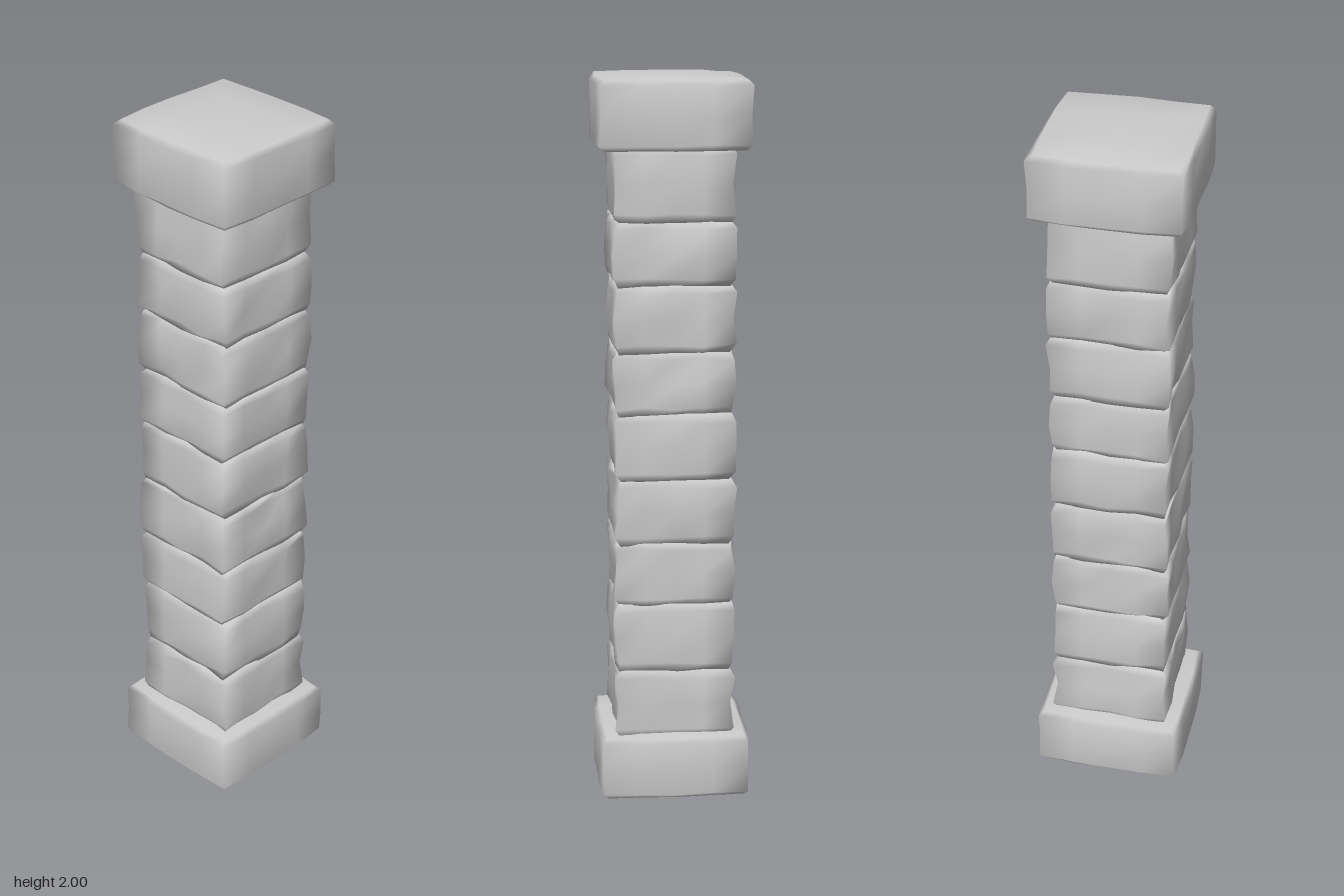
import * as THREE from 'three';
import { mergeVertices } from 'three/addons/utils/BufferGeometryUtils.js';

const material = new THREE.MeshStandardMaterial({ color: 0xcccccc });

// small seeded noise in -1..1
let seed = 7;
function noise() {
  seed = (seed * 16807) % 2147483647;
  return (seed / 2147483647) * 2 - 1;
}

// Roughly hewn square stone: half width r, from y0 to y1, with worn upper and lower rims
function stone(name, { r, y0, y1, bulge, inset, dome, rough }) {
  let geo = new THREE.BoxGeometry(2, 2, 2, 4, 4, 4);
  geo.deleteAttribute('normal');
  geo.deleteAttribute('uv');
  geo = mergeVertices(geo);
  const p = geo.attributes.position;
  const half = (y1 - y0) / 2;
  for (let i = 0; i < p.count; i++) {
    const u = p.getX(i), v = p.getY(i), w = p.getZ(i);
    // gather the inner loops towards the rims
    const height = Math.abs(v) === 0.5 ? v * 1.5 : v;
    const rim = Math.abs(v) === 1 ? inset : 0;
    // sides swell towards the middle of each face
    const sideX = Math.abs(u) === 1, sideZ = Math.abs(w) === 1;
    const push = (on, t) => on ? bulge * (1 - t * t) + noise() * rough : 0;
    const x = u * (r - rim + push(sideX, w));
    const z = w * (r - rim + push(sideZ, u));
    // beds are slightly domed, with chipped rims
    const crown = Math.abs(v) === 1 ? dome * Math.max(u * u, w * w) : 0;
    const chip = sideX || sideZ ? noise() * rough * 0.7 : 0;
    const y = (y0 + y1) / 2 + height * (half - crown) + chip * (Math.abs(v) === 1 ? 0.5 : 1);
    p.setXYZ(i, x, y, z);
  }
  geo.computeVertexNormals();
  const mesh = new THREE.Mesh(geo, material);
  mesh.name = name;
  return mesh;
}

export function createModel() {
  seed = 7;
  const pillar = new THREE.Group();
  pillar.name = 'stonePillar';

  // base and cap slabs
  const slab = { r: 0.201, bulge: 0.007, inset: 0.012, dome: 0.013, rough: 0.003 };
  pillar.add(stone('base', { ...slab, y0: 0.003, y1: 0.2 }));
  pillar.add(stone('cap', { ...slab, y0: 1.79, y1: 2 }));

  // shaft of stacked courses
  const shaft = new THREE.Group();
  shaft.name = 'shaft';
  const seams = [0.18, 0.37, 0.56, 0.73, 0.91, 1.09, 1.26, 1.44, 1.61, 1.81];
  for (let i = 0; i < seams.length - 1; i++) {
    const course = stone('course' + (i + 1), {
      r: 0.161, y0: seams[i] - 0.004, y1: seams[i + 1] + 0.004,
      bulge: 0.001, inset: 0.009, dome: 0.003, rough: 0.007,
    });
    course.position.set(noise() * 0.002, 0, noise() * 0.002);
    shaft.add(course);
  }
  pillar.add(shaft);
  return pillar;
}
